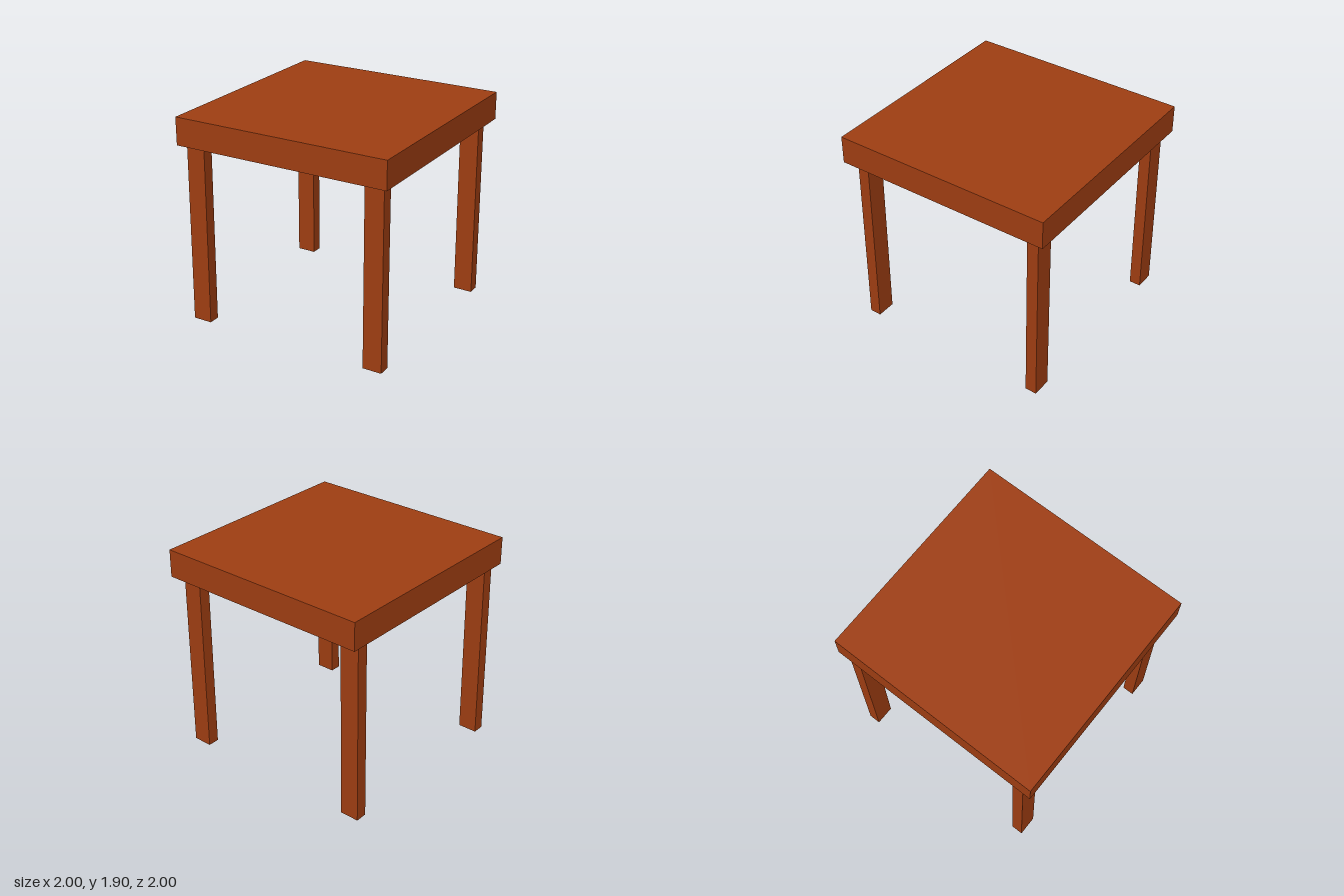
import * as THREE from 'three';

const TOP = 1.905, UNDER = 1.655;

// Box leg whose upper end is shifted slightly, giving a faint lean
function makeLeg(name, x, z, leanX, leanZ, material) {
  const geometry = new THREE.BoxGeometry(0.175, UNDER, 0.105);
  geometry.translate(0, UNDER / 2, 0);
  const p = geometry.attributes.position;
  for (let i = 0; i < p.count; i++) {
    const t = p.getY(i) / UNDER;
    p.setX(i, p.getX(i) + leanX * t);
    p.setZ(i, p.getZ(i) + leanZ * t);
  }
  geometry.computeVertexNormals();
  const leg = new THREE.Mesh(geometry, material);
  leg.name = name;
  leg.position.set(x, 0, z);
  return leg;
}

export function createModel() {
  const group = new THREE.Group();
  group.name = 'table';
  const wood = new THREE.MeshStandardMaterial({ color: 0xa03e12, flatShading: true });

  // Thick square slab
  const top = new THREE.Mesh(new THREE.BoxGeometry(2, TOP - UNDER, 2), wood);
  top.name = 'tableTop';
  top.position.y = (TOP + UNDER) / 2;
  group.add(top);

  // Four legs: name, foot x, foot z, lean x, lean z
  const legs = [
    ['frontLeftLeg', 0.84, 0.863, 0, -0.01],
    ['frontRightLeg', -0.886, 0.863, 0.006, -0.01],
    ['backLeftLeg', 0.84, -0.862, 0, 0],
    ['backRightLeg', -0.886, -0.862, 0.006, 0],
  ];
  for (const [name, x, z, leanX, leanZ] of legs) {
    group.add(makeLeg(name, x, z, leanX, leanZ, wood));
  }
  return group;
}
